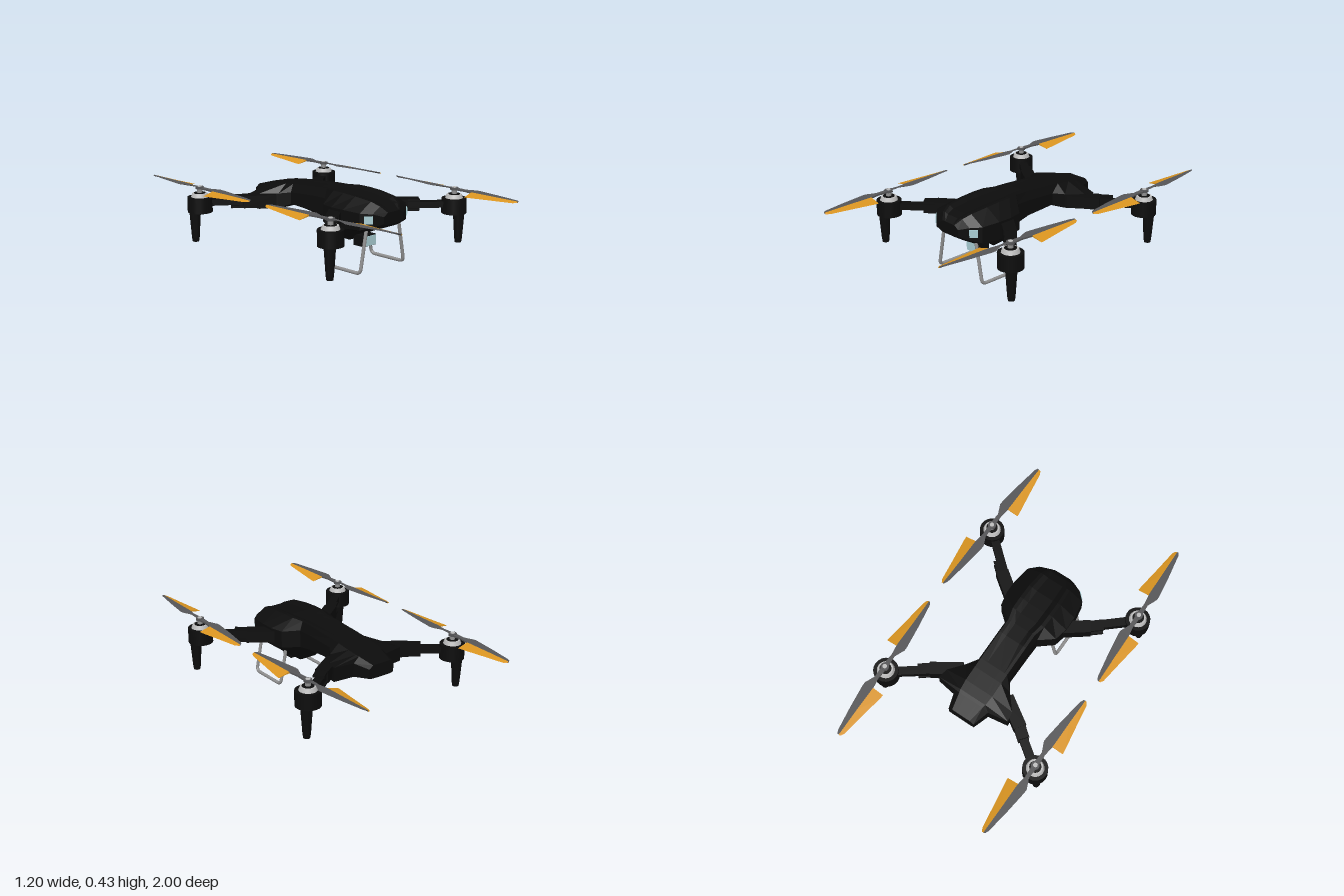
import * as THREE from 'three';

const mat = (name, color, extra = {}) => {
  const m = new THREE.MeshStandardMaterial({ color, ...extra });
  m.name = name;
  return m;
};

// Closed, flat-shaded skin through equal-length rings of [x, y, z], turned outward
function loft(rings) {
  const n = rings[0].length, tris = [];
  for (let i = 0; i < rings.length - 1; i++) {
    for (let j = 0; j < n; j++) {
      const k = (j + 1) % n;
      const a = rings[i][j], b = rings[i][k], c = rings[i + 1][k], d = rings[i + 1][j];
      tris.push([a, b, c], [a, c, d]);
    }
  }
  const mid = r => [0, 1, 2].map(q => r.reduce((s, p) => s + p[q], 0) / n);
  const first = rings[0], last = rings[rings.length - 1];
  const m0 = mid(first), m1 = mid(last);
  for (let j = 0; j < n; j++) {
    const k = (j + 1) % n;
    tris.push([m0, first[k], first[j]], [m1, last[j], last[k]]);
  }
  const v = p => new THREE.Vector3(...p);
  let volume = 0;
  for (const [a, b, c] of tris) volume += v(a).dot(v(b).cross(v(c)));
  const pos = tris.flatMap(([a, b, c]) => (volume > 0 ? [a, b, c] : [a, c, b]).flat());
  const g = new THREE.BufferGeometry();
  g.setAttribute('position', new THREE.Float32BufferAttribute(pos, 3));
  g.computeVertexNormals();
  return g;
}

export function createModel() {
  const model = new THREE.Group();
  model.name = 'quadcopter';
  const black = mat('black shell', 0x0c0c0c);
  const bladeGray = mat('blade gray', 0x555557);
  const orange = mat('blade orange', 0xd99420);
  const silver = mat('motor silver', 0xbcbcbc);
  const steel = mat('skid steel', 0x8e8e8e);
  const glass = mat('pale blue glass', 0xa9cdd3);

  const add = (parent, name, geo, material, x = 0, y = 0, z = 0) => {
    const m = new THREE.Mesh(geo, material);
    m.name = name;
    m.position.set(x, y, z);
    parent.add(m);
    return m;
  };
  const cyl = (rTop, rBottom, h, n = 20) => new THREE.CylinderGeometry(rTop, rBottom, h, n);

  // Fuselage: z, half width, shoulder y, side bottom y, belly half width, belly y, ridge x, ridge y, centre y
  const stations = [
    [0.522, 0.08, 0.33, 0.29, 0.05, 0.28, 0.05, 0.35, 0.35],
    [0.49, 0.14, 0.35, 0.275, 0.09, 0.262, 0.08, 0.385, 0.38],
    [0.44, 0.19, 0.355, 0.26, 0.12, 0.238, 0.1, 0.407, 0.397],
    [0.33, 0.207, 0.36, 0.255, 0.11, 0.222, 0.11, 0.42, 0.409],
    [0.24, 0.207, 0.36, 0.255, 0.06, 0.145, 0.11, 0.426, 0.413],
    [0.16, 0.19, 0.36, 0.26, 0.055, 0.147, 0.108, 0.427, 0.415],
    [0.09, 0.107, 0.37, 0.265, 0.05, 0.21, 0.09, 0.423, 0.416],
    [0, 0.107, 0.37, 0.28, 0.07, 0.255, 0.09, 0.42, 0.416],
    [-0.19, 0.107, 0.36, 0.29, 0.07, 0.28, 0.09, 0.407, 0.407],
    [-0.25, 0.15, 0.35, 0.265, 0.09, 0.26, 0.09, 0.402, 0.402],
    [-0.34, 0.225, 0.347, 0.255, 0.1, 0.25, 0.09, 0.392, 0.392],
    [-0.4, 0.237, 0.345, 0.26, 0.1, 0.262, 0.085, 0.383, 0.383],
    [-0.42, 0.115, 0.345, 0.265, 0.08, 0.265, 0.08, 0.378, 0.378],
    [-0.52, 0.085, 0.335, 0.28, 0.06, 0.275, 0.06, 0.355, 0.355],
  ];
  const rings = stations.map(([z, w, ys, yb, bw, belly, rx, yr, yc]) => {
    const half = [[bw, belly], [w, yb], [w, ys], [rx, yr], [rx * 0.8, yr], [rx * 0.5, yc]];
    const mirrored = half.map(([x, y]) => [-x, y]).reverse();
    return [...half, ...mirrored].map(([x, y]) => [x, y, z]);
  });
  add(model, 'fuselage', loft(rings), black);

  // Camera hanging below the nose
  const camera = new THREE.Group();
  camera.name = 'camera';
  model.add(camera);
  add(camera, 'cameraMount', new THREE.BoxGeometry(0.05, 0.08, 0.05), black, 0, 0.19, 0.25);
  add(camera, 'cameraBody', new THREE.BoxGeometry(0.1, 0.062, 0.08), black, 0, 0.149, 0.305);
  add(camera, 'cameraLens', new THREE.BoxGeometry(0.092, 0.056, 0.006), glass, 0, 0.149, 0.347);

  // Beam between two ground-plan points
  const beam = (parent, name, [x0, z0], [x1, z1], y, h, w) => {
    const geo = new THREE.BoxGeometry(Math.hypot(x1 - x0, z1 - z0), h, w);
    const b = add(parent, name, geo, black, (x0 + x1) / 2, y, (z0 + z1) / 2);
    b.rotation.y = -Math.atan2(z1 - z0, x1 - x0);
  };

  // Blade sections: distance from hub, leading, middle and trailing offsets
  const bladeRows = [
    [0.01, -0.015, 0.015, 0.015],
    [0.08, -0.011, 0.011, 0.011],
    [0.14, -0.037, 0.02, 0.088],
    [0.165, -0.036, 0.021, 0.086],
    [0.3, -0.018, 0.022, 0.066],
    [0.445, 0.006, 0.025, 0.046],
    [0.465, 0.016, 0.025, 0.035],
  ];

  for (const sx of [1, -1]) {
    const side = sx > 0 ? 'left' : 'right';

    // Headlight on the angled nose corner
    const light = add(model, side + 'Headlight', new THREE.BoxGeometry(0.048, 0.045, 0.008),
      glass, sx * 0.157, 0.318, 0.476);
    light.rotation.y = sx * Math.PI / 4;

    // Landing skid: one bent tube
    const P = (y, z) => new THREE.Vector3(sx * (0.182 - 0.195 * (y - 0.01)), y, z);
    const path = new THREE.CurvePath();
    path.add(new THREE.LineCurve3(P(0.26, 0.44), P(0.04, 0.44)));
    path.add(new THREE.QuadraticBezierCurve3(P(0.04, 0.44), P(0.01, 0.44), P(0.01, 0.41)));
    path.add(new THREE.LineCurve3(P(0.01, 0.41), P(0.01, 0.22)));
    path.add(new THREE.QuadraticBezierCurve3(P(0.01, 0.22), P(0.01, 0.19), P(0.04, 0.19)));
    path.add(new THREE.LineCurve3(P(0.04, 0.19), P(0.26, 0.19)));
    add(model, side + 'LandingSkid', new THREE.TubeGeometry(path, 80, 0.01, 10), steel);

    for (const sz of [1, -1]) {
      const corner = new THREE.Group();
      corner.name = (sz > 0 ? 'front' : 'rear') + (sx > 0 ? 'Left' : 'Right') + 'Rotor';
      model.add(corner);
      const hx = 0.512, hz = 0.535;

      // Folding arm: thick root, forked hinge, thin outer part
      const at = (x, zFront, zRear) => [sx * x, sz > 0 ? zFront : -zRear];
      beam(corner, 'armRoot', at(0.15, 0.225, 0.28), at(0.31, 0.345, 0.385), 0.31, 0.072, 0.075);
      for (const y of [0.282, 0.338])
        beam(corner, 'armFork', at(0.3, 0.337, 0.378), at(0.365, 0.393, 0.43), y, 0.014, 0.065);
      beam(corner, 'armTip', at(0.27, 0.325, 0.36), at(0.48, 0.51, 0.515), 0.31, 0.036, 0.05);

      // Motor pod and its tapered foot
      add(corner, 'motorPod', cyl(0.073, 0.073, 0.09), black, sx * hx, 0.3, sz * hz);
      add(corner, 'foot', cyl(0.034, 0.023, 0.155, 12), black, sx * 0.536, 0.18, sz * 0.553);
      add(corner, 'footTip', cyl(0.023, 0.019, 0.025, 12), black, sx * 0.536, 0.09, sz * 0.553);

      // Motor and propeller hub
      add(corner, 'motorBell', cyl(0.044, 0.052, 0.022), silver, sx * hx, 0.356, sz * hz);
      add(corner, 'motorCap', cyl(0.034, 0.034, 0.004), black, sx * hx, 0.368, sz * hz);
      add(corner, 'shaft', cyl(0.016, 0.016, 0.03, 14), steel, sx * hx, 0.38, sz * hz);
      add(corner, 'propellerHub', cyl(0.024, 0.024, 0.014, 16), bladeGray, sx * hx, 0.399, sz * hz);
      add(corner, 'hubCap', cyl(0.013, 0.013, 0.005, 14), silver, sx * hx, 0.4075, sz * hz);

      // Two opposite blades, each a gray leading half and an orange trailing half
      for (const turn of [1, -1]) {
        const pt = (d, v, y) => [sx * (hx + turn * v), y, sz * (hz - turn * d)];
        const gray = bladeRows.map(([d, lead, mid]) =>
          [pt(d, lead, 0.403), pt(d, mid, 0.402), pt(d, mid, 0.393)]);
        const trailing = bladeRows.slice(2).map(([d, , mid, trail]) =>
          [pt(d, trail, 0.4 - 0.2 * (trail - mid) - 0.003), pt(d, mid, 0.402), pt(d, mid, 0.393)]);
        add(corner, 'bladeLeadingHalf', loft(gray), bladeGray);
        add(corner, 'bladeTrailingHalf', loft(trailing), orange);
      }
    }
  }
  return model;
}
